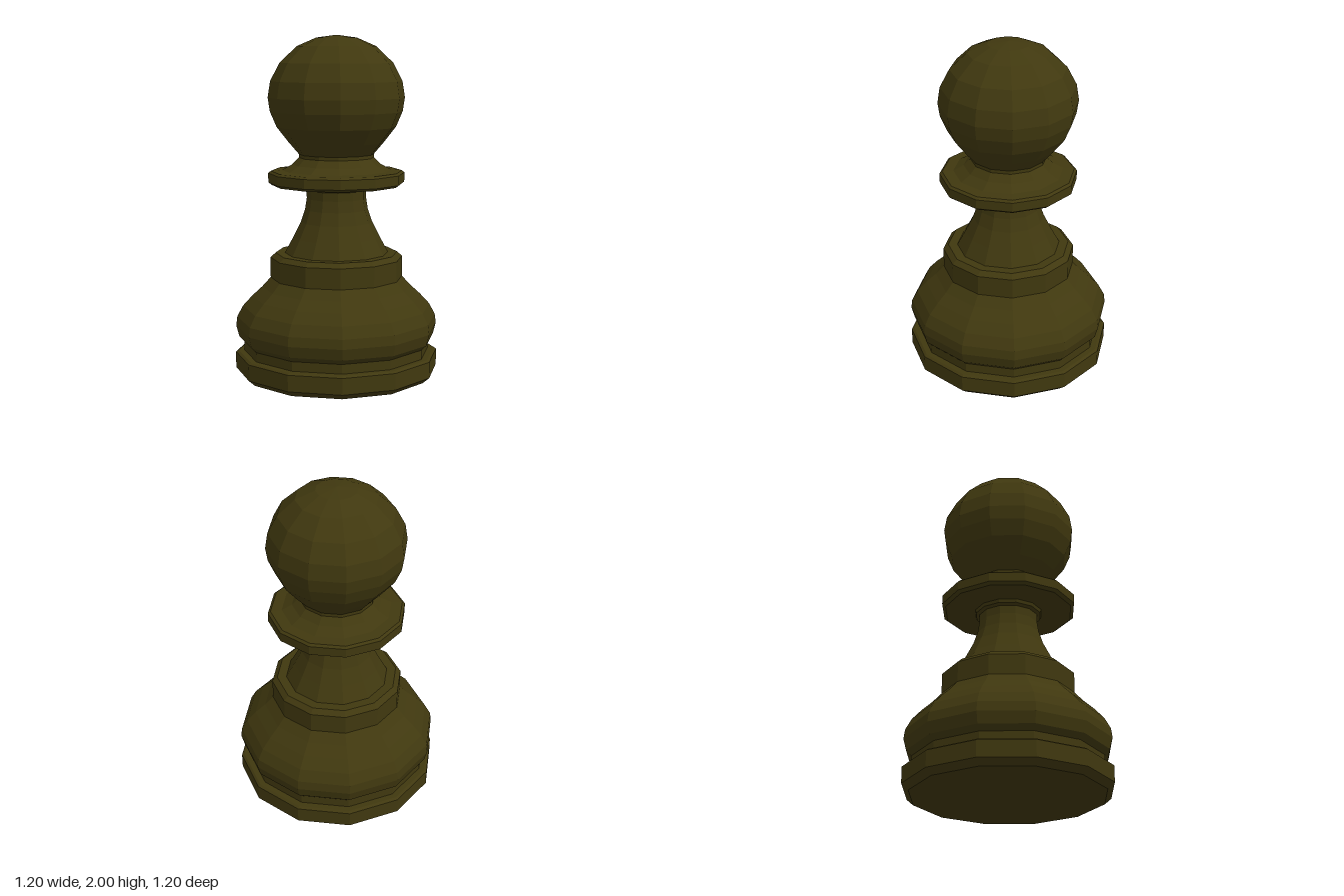
import * as THREE from 'three';

const SIDES = 12;

// Turned, faceted parts stacked from the floor up; points are [radius, height].
const PARTS = {
  base: [[0, 0], [0.56, 0], [0.6, 0.035], [0.6, 0.13], [0.585, 0.14], [0.55, 0.14]],
  body: [[0.55, 0.14], [0.55, 0.195], [0.58, 0.225], [0.597, 0.29], [0.59, 0.345],
    [0.555, 0.41], [0.5, 0.47], [0.44, 0.525], [0.39, 0.58]],
  bodyCollar: [[0.39, 0.58], [0.39, 0.7], [0.36, 0.727], [0.305, 0.727]],
  stem: [[0.305, 0.727], [0.255, 0.82], [0.21, 0.91], [0.185, 0.985], [0.175, 1.05], [0.175, 1.1]],
  neckRing: [[0.175, 1.1], [0.195, 1.11], [0.2, 1.13], [0.38, 1.13], [0.4, 1.145], [0.4, 1.2],
    [0.385, 1.212], [0.32, 1.217], [0.26, 1.25], [0.22, 1.29], [0.22, 1.31]],
  head: [[0.22, 1.31], [0.28, 1.38], [0.35, 1.47], [0.388, 1.56], [0.4, 1.64], [0.385, 1.735],
    [0.33, 1.84], [0.23, 1.935], [0.118, 1.984], [0, 2]],
};

export function createModel() {
  const group = new THREE.Group();
  group.name = 'pawn';
  const olive = new THREE.MeshStandardMaterial({ color: 0x40380f, flatShading: true });
  olive.name = 'dark olive';

  for (const [name, profile] of Object.entries(PARTS)) {
    const points = profile.map(([r, y]) => new THREE.Vector2(r, y));
    const mesh = new THREE.Mesh(new THREE.LatheGeometry(points, SIDES), olive);
    mesh.name = name;
    group.add(mesh);
  }
  return group;
}
